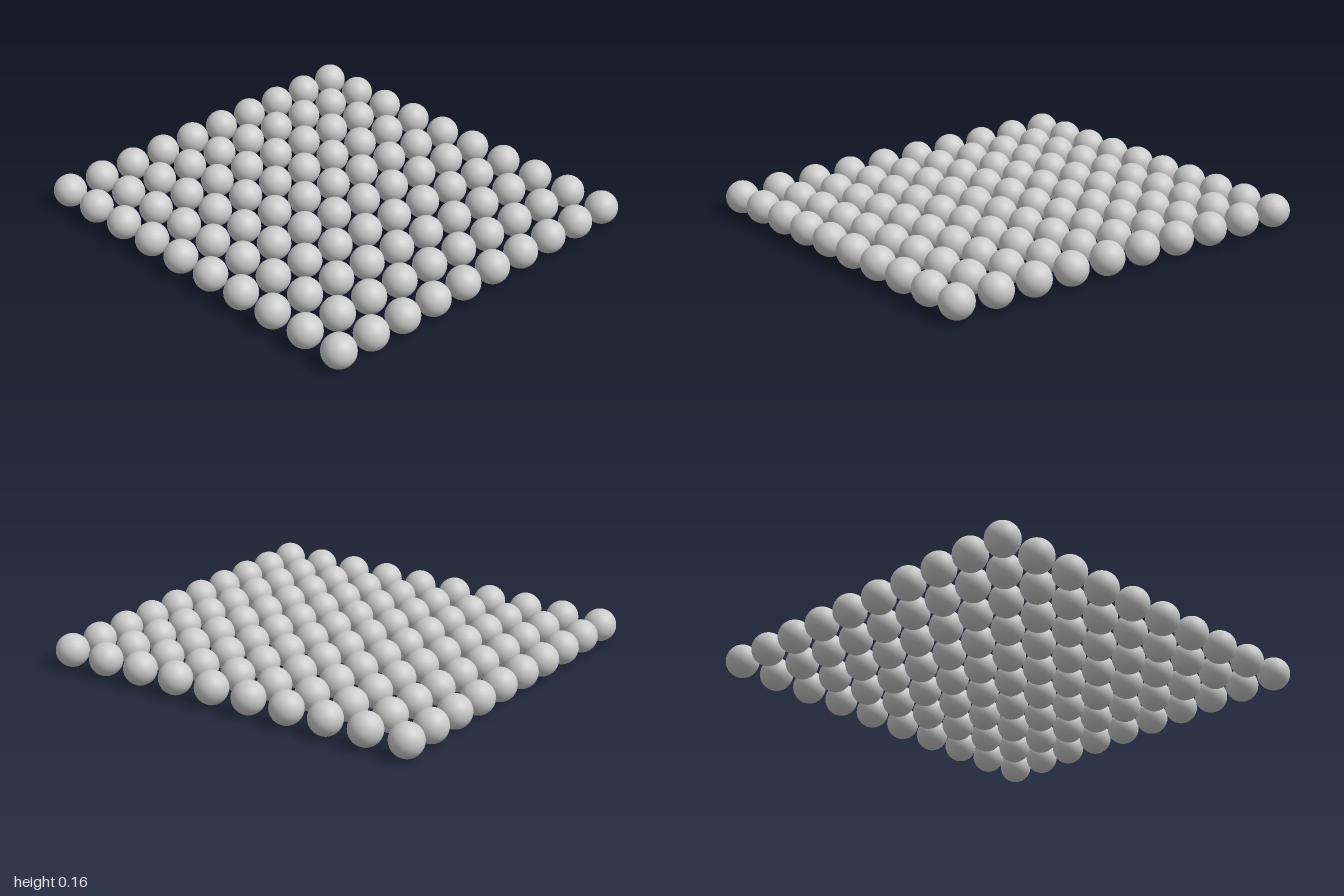
import * as THREE from 'three';

const COUNT = 10;            // balls per row and per column
const DIAMETER = 2 / 12.7;   // overall width is 2 units
const STEP_X = DIAMETER * 1.3;
const STEP_Z = DIAMETER * 1.2;

export function createModel() {
  const model = new THREE.Group();
  model.name = 'ballGrid';
  const material = new THREE.MeshStandardMaterial({ color: 0xcccccc });
  const geometry = new THREE.SphereGeometry(DIAMETER / 2, 32, 16);
  const middle = (COUNT - 1) / 2;

  // Rows run along x and are spaced a little closer along z
  for (let r = 0; r < COUNT; r++) {
    const row = new THREE.Group();
    row.name = `ballRow${r + 1}`;
    row.position.set(0, DIAMETER / 2, (r - middle) * STEP_Z);
    for (let c = 0; c < COUNT; c++) {
      const ball = new THREE.Mesh(geometry, material);
      ball.name = `ball${c + 1}`;
      ball.position.x = (c - middle) * STEP_X;
      row.add(ball);
    }
    model.add(row);
  }
  return model;
}
